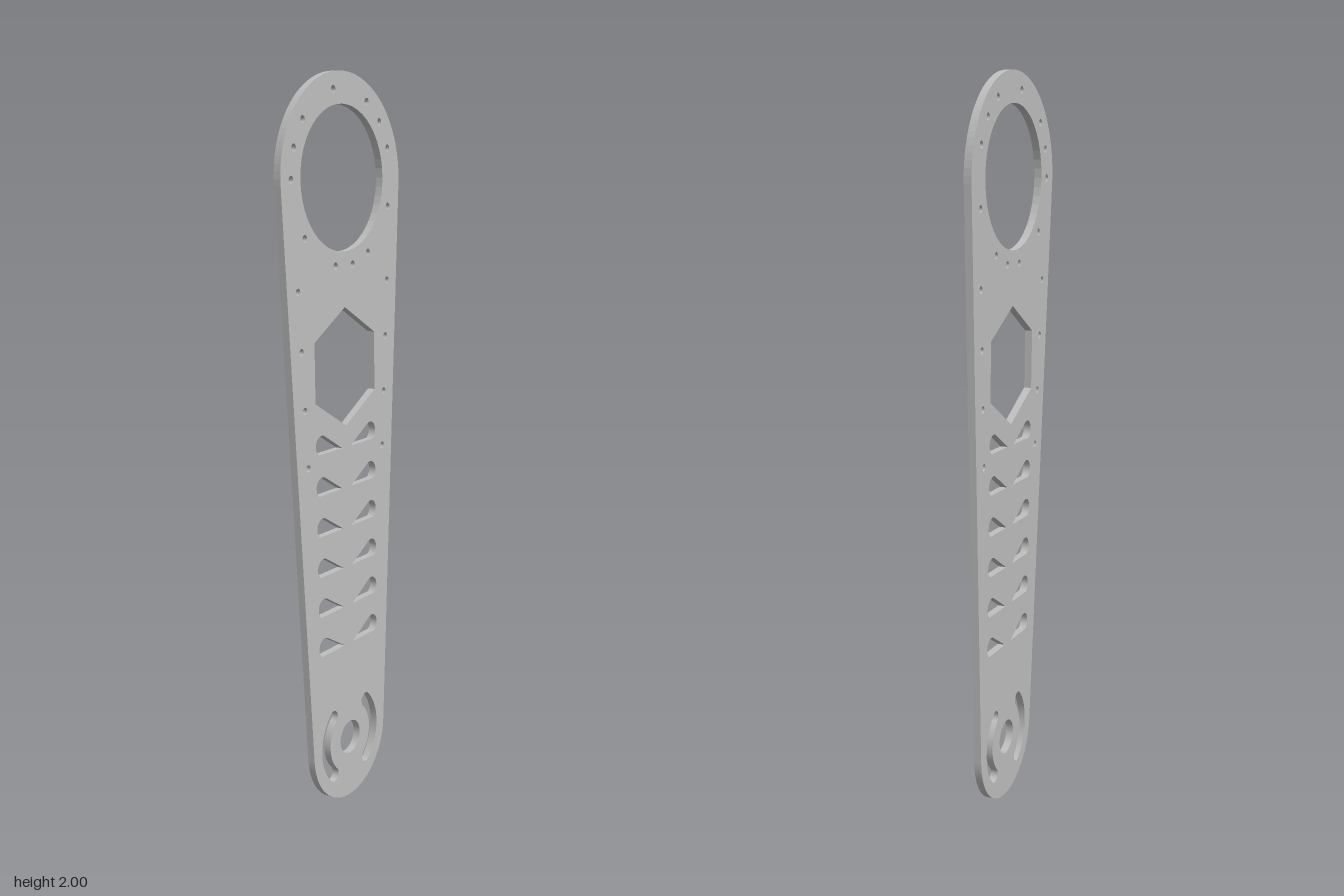
import * as THREE from 'three';

const TOP_Y = 1.73, TOP_R = 0.27;
const LOW_Y = 0.174, LOW_R = 0.174;
const THICK = 0.021;

function circle(x, y, r) {
  const path = new THREE.Path();
  path.absarc(x, y, r, 0, Math.PI * 2, false);
  return path;
}

// V-shaped slot with rounded ends; y is the centre line at the middle
function chevron(y) {
  const r = 0.027, a = Math.PI / 6, reach = 0.115;
  const endY = y + reach * Math.tan(a), v = r / Math.cos(a);
  const path = new THREE.Path();
  path.moveTo(0, y - v);
  path.absarc(reach, endY, r, a - Math.PI / 2, a + Math.PI / 2, false);
  path.lineTo(0, y + v);
  path.absarc(-reach, endY, r, Math.PI / 2 - a, Math.PI * 1.5 - a, false);
  path.closePath();
  return path;
}

// Curved slot around the lower bore, centred on the direction mid
function arcSlot(mid) {
  const R = 0.117, r = 0.02, a = 0.82;
  const path = new THREE.Path();
  const end = (t) => [R * Math.cos(t), LOW_Y + R * Math.sin(t)];
  path.absarc(0, LOW_Y, R + r, mid - a, mid + a, false);
  path.absarc(...end(mid + a), r, mid + a, mid + a + Math.PI, false);
  path.absarc(0, LOW_Y, R - r, mid + a, mid - a, true);
  path.absarc(...end(mid - a), r, mid - a + Math.PI, mid - a + Math.PI * 2, false);
  path.closePath();
  return path;
}

export function createModel() {
  const group = new THREE.Group();
  const metal = new THREE.MeshStandardMaterial({ color: 0xbfbfbf });
  metal.name = 'plain grey metal';

  // Tapered outline: two arcs joined by their tangents
  const t = Math.asin((TOP_R - LOW_R) / (TOP_Y - LOW_Y));
  const outline = new THREE.Shape();
  outline.absarc(0, TOP_Y, TOP_R, -t, Math.PI + t, false);
  outline.absarc(0, LOW_Y, LOW_R, Math.PI + t, Math.PI * 2 - t, false);
  outline.closePath();

  // Large ring opening and lower bore
  outline.holes.push(circle(0, TOP_Y, 0.188), circle(0, LOW_Y, 0.048));

  // Hexagonal window
  const hex = [];
  for (let i = 0; i < 6; i++) {
    const a = Math.PI / 2 + i * Math.PI / 3;
    hex.push(new THREE.Vector2(0.162 * Math.cos(a), 1.236 + 0.16 * Math.sin(a)));
  }
  outline.holes.push(new THREE.Path(hex));

  // Ladder of chevron slots
  for (let i = 0; i < 6; i++) outline.holes.push(chevron(0.412 + i * 0.1125));

  // Two curved slots beside the bore
  outline.holes.push(arcSlot(0), arcSlot(Math.PI));

  // Screw holes around the ring
  for (const deg of [100, 60, 40, 20, -20, -60, -80, -100, -140, 180, 160, 140]) {
    const a = THREE.MathUtils.degToRad(deg);
    outline.holes.push(circle(0.227 * Math.cos(a), TOP_Y + 0.227 * Math.sin(a), 0.0095));
  }

  // Screw holes down both edges
  for (let i = 0; i < 4; i++) {
    for (const side of [-1, 1]) {
      outline.holes.push(circle(side * (0.207 - i * 0.01), 1.452 - i * 0.1537, 0.0095));
    }
  }

  const geometry = new THREE.ExtrudeGeometry(outline, {
    depth: THICK, bevelEnabled: false, curveSegments: 24,
  });
  geometry.translate(0, -1, -THICK / 2);
  geometry.rotateY(Math.PI / 2);

  // The plate leans slightly sideways
  const plate = new THREE.Mesh(geometry, metal);
  plate.name = 'armPlate';
  plate.rotation.z = 0.0155;
  plate.position.y = 1;
  group.add(plate);
  return group;
}
